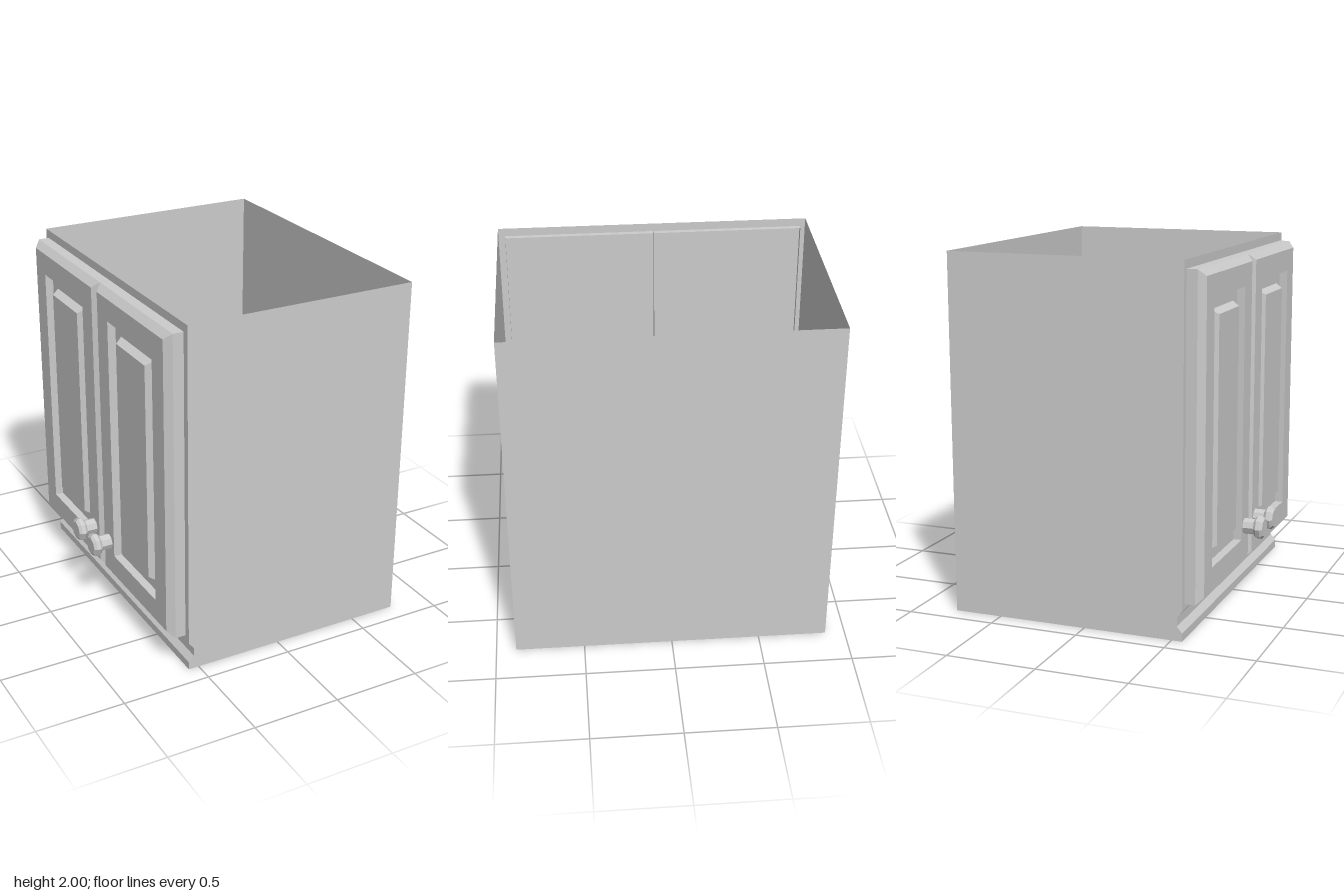
import * as THREE from 'three';

const material = new THREE.MeshStandardMaterial({ color: 0xcccccc, side: THREE.DoubleSide, flatShading: true });

function addMesh(parent, geometry, name) {
  const mesh = new THREE.Mesh(geometry, material);
  mesh.name = name;
  parent.add(mesh);
  return mesh;
}

// Flat-shaded geometry from a list of four-cornered faces
function quads(faces) {
  const positions = [];
  for (const [a, b, c, d] of faces) positions.push(...a, ...b, ...c, ...a, ...c, ...d);
  const geometry = new THREE.BufferGeometry();
  geometry.setAttribute('position', new THREE.Float32BufferAttribute(positions, 3));
  geometry.computeVertexNormals();
  return geometry;
}

// Open-topped carcass: side profile (x, y) with a cove at the toe
function makeCarcass() {
  const halfDepth = 0.888;
  const profile = [
    [-0.56, 2], [-0.56, 0.165], [-0.53, 0.13], [-0.53, 0.08],
    [-0.56, 0.045], [-0.56, 0], [0.77, 0], [0.77, 2],
  ];
  const carcass = new THREE.Group();
  carcass.name = 'carcass';

  const faces = [];
  for (let i = 0; i < profile.length - 1; i++) {
    const [p, q] = [profile[i], profile[i + 1]];
    faces.push([[...p, -halfDepth], [...q, -halfDepth], [...q, halfDepth], [...p, halfDepth]]);
  }
  addMesh(carcass, quads(faces), 'wrapPanel');

  const shape = new THREE.Shape(profile.map(([x, y]) => new THREE.Vector2(x, y)));
  for (const side of [1, -1]) {
    const geometry = new THREE.ShapeGeometry(shape);
    if (side < 0) geometry.setIndex([...geometry.index.array].reverse());
    geometry.translate(0, 0, side * halfDepth);
    geometry.computeVertexNormals();
    addMesh(carcass, geometry, side > 0 ? 'nearSidePanel' : 'farSidePanel');
  }
  return carcass;
}

// Raised-panel door, open at the back: nested rectangles given as (inset, x)
function makeDoor(z0, z1) {
  const [y0, y1] = [0.197, 1.953];
  const steps = [
    [0, -0.53], [0, -0.62], [0.036, -0.657], [0.162, -0.657],
    [0.162, -0.61], [0.232, -0.61], [0.256, -0.652],
  ];
  const loops = steps.map(([d, x]) => [
    [x, y0 + d, z0 + d], [x, y0 + d, z1 - d], [x, y1 - d, z1 - d], [x, y1 - d, z0 + d],
  ]);
  const faces = [loops[loops.length - 1]];
  for (let k = 0; k < loops.length - 1; k++) {
    for (let i = 0; i < 4; i++) {
      const j = (i + 1) % 4;
      faces.push([loops[k][i], loops[k][j], loops[k + 1][j], loops[k + 1][i]]);
    }
  }
  return quads(faces);
}

// Eight-sided knob: stem and bevelled head, turned to point along -x
function makeKnob() {
  const profile = [
    [0.045, 0], [0.045, 0.065], [0.052, 0.065], [0.067, 0.08],
    [0.067, 0.103], [0.052, 0.118], [0, 0.118],
  ].map(([r, h]) => new THREE.Vector2(r, h));
  const geometry = new THREE.LatheGeometry(profile, 8);
  geometry.rotateZ(Math.PI / 2);
  return geometry;
}

export function createModel() {
  const model = new THREE.Group();
  model.name = 'cabinet';
  model.add(makeCarcass());

  // Pair of doors, each with a knob near the meeting edge
  const seam = -0.004;
  for (const side of [-1, 1]) {
    const door = new THREE.Group();
    door.name = side < 0 ? 'farDoor' : 'nearDoor';
    const edges = [seam + side * 0.001, seam + side * 0.853].sort((a, b) => a - b);
    addMesh(door, makeDoor(...edges), 'doorPanel');
    addMesh(door, makeKnob(), 'knob').position.set(-0.656, 0.428, -0.008 + side * 0.103);
    model.add(door);
  }
  return model;
}
